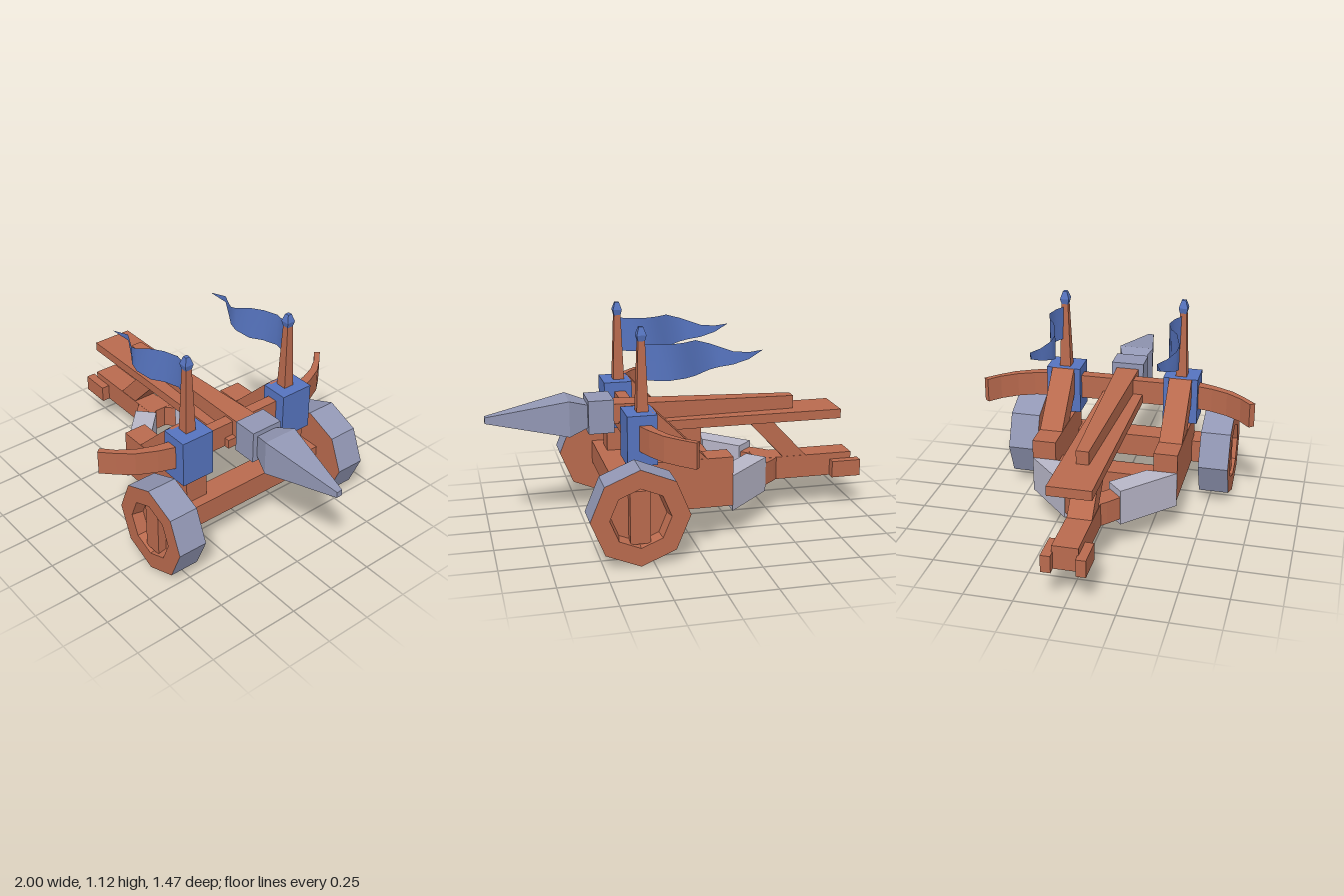
import * as THREE from 'three';

const mat = (name, color) => {
  const m = new THREE.MeshStandardMaterial({ color });
  m.name = name;
  return m;
};

export function createModel() {
  const wood = mat('wood', 0xb96a4e);
  const blue = mat('blue paint', 0x5674bf);
  const steel = mat('steel', 0x9297b4);
  const paleSteel = mat('pale steel', 0xb8b6c8);
  const cloth = mat('blue cloth', 0x5674bf);
  cloth.side = THREE.DoubleSide;
  const model = new THREE.Group();
  model.name = 'ballista';

  const flat = (g) => {
    const n = g.index ? g.toNonIndexed() : g;
    n.computeVertexNormals();
    return n;
  };
  const add = (name, geo, material, parent = model) => {
    const mesh = new THREE.Mesh(geo, material);
    mesh.name = name;
    parent.add(mesh);
    return mesh;
  };
  // Box given by its limits
  const box = (name, m, x0, x1, y0, y1, z0, z1) => {
    const g = new THREE.BoxGeometry(x1 - x0, y1 - y0, z1 - z0);
    g.translate((x0 + x1) / 2, (y0 + y1) / 2, (z0 + z1) / 2);
    return add(name, g, m);
  };
  const extrude = (pts, depth) => new THREE.ExtrudeGeometry(
    new THREE.Shape(pts.map(([a, b]) => new THREE.Vector2(a, b))), { depth, bevelEnabled: false });
  // Side profile (x, y) extruded along z
  const sidePrism = (name, m, pts, z0, z1) =>
    add(name, extrude(pts, z1 - z0).translate(0, 0, z0), m);
  // Plan outline (x, z) extruded along y
  const planPrism = (name, m, pts, y0, y1) =>
    add(name, extrude(pts, y1 - y0).rotateX(Math.PI / 2).translate(0, y1, 0), m);

  // Chassis
  box('axle', wood, 0.255, 0.385, 0.185, 0.31, -0.45, 0.45);
  box('crossBeam', wood, -0.2, -0.07, 0.185, 0.31, -0.27, 0.27);
  box('tailBeam', wood, -0.96, -0.42, 0.185, 0.31, -0.065, 0.065);
  sidePrism('railSupport', wood, [[-0.71, 0.3], [-0.58, 0.3], [-0.365, 0.53], [-0.495, 0.53]], -0.063, 0.063);

  // Firing rail and tapered bolt shaft
  box('rail', wood, -0.875, 0.32, 0.52, 0.57, -0.11, 0.11);
  const shaft = new THREE.BoxGeometry(1, 1, 1);
  const p = shaft.attributes.position;
  for (let i = 0; i < p.count; i++) {
    const front = p.getX(i) > 0;
    p.setXYZ(i, front ? 0.36 : -0.63,
      p.getY(i) > 0 ? (front ? 0.665 : 0.64) : 0.56,
      Math.sign(p.getZ(i)) * (front ? 0.062 : 0.032));
  }
  add('boltShaft', flat(shaft), wood);

  // Bolt head: collar and square point
  box('boltCollar', steel, 0.35, 0.482, 0.52, 0.695, -0.088, 0.088);
  const head = new THREE.LatheGeometry(
    [[0, 0.48], [0.06, 0.48], [0.094, 0.58], [0.016, 1], [0, 1]]
      .map(([h, x]) => new THREE.Vector2(h * Math.SQRT2, x)), 4, Math.PI / 4);
  add('boltHead', flat(head.rotateZ(-Math.PI / 2).translate(0, 0.608, 0)), steel);

  // Bow, swept back toward the tips
  const outer = [[0.29, 0.4], [0.255, 0.5], [0.205, 0.6], [0.145, 0.67], [0.08, 0.735]];
  const inner = [[0.06, 0.71], [0.12, 0.655], [0.175, 0.575], [0.21, 0.49], [0.23, 0.4]];
  const half = [...outer, ...inner];
  const mirrored = half.map(([x, z]) => [x, -z]).reverse();
  planPrism('bow', wood, [...half, ...mirrored], 0.52, 0.65);

  for (const s of [1, -1]) {
    const m = (pts) => pts.map(([x, z]) => [x, z * s]);
    const zs = (a, b) => (s > 0 ? [a, b] : [-b, -a]);

    // Side frame with slanted brace
    box('sideBeam', wood, -0.2, 0.33, 0.185, 0.445, ...zs(0.26, 0.385));
    sidePrism('brace', wood, [[-0.07, 0.44], [0.08, 0.44], [0.21, 0.57], [0.21, 0.7], [0.19, 0.7]], ...zs(0.262, 0.383));
    box('tailHook', wood, -1, -0.84, 0.185, 0.275, ...zs(0.06, 0.11));

    // Diagonal strut in a steel sleeve
    planPrism('strut', wood, m([[-0.195, 0.36], [-0.195, 0.25], [-0.43, 0.02], [-0.55, 0.05], [-0.51, 0.09]]), 0.186, 0.309);
    planPrism('strutSleeve', paleSteel, m([[-0.2, 0.385], [-0.2, 0.225], [-0.365, 0.065], [-0.45, 0.145]]), 0.155, 0.345);

    // Bow mount, pole and finial
    box('bowMount', blue, 0.195, 0.345, 0.445, 0.7, ...zs(0.23, 0.415));
    const pole = new THREE.CylinderGeometry(0.017 * Math.SQRT2, 0.03 * Math.SQRT2, 0.37, 4, 1);
    add('pole', flat(pole.rotateY(Math.PI / 4).translate(0.255, 0.875, 0.32 * s)), wood);
    const finial = new THREE.LatheGeometry(
      [[0, 1.045], [0.016, 1.045], [0.024, 1.08], [0.011, 1.12], [0, 1.12]]
        .map(([r, y]) => new THREE.Vector2(r * Math.SQRT2, y)), 4, Math.PI / 4);
    add('finial', flat(finial.translate(0.255, 0, 0.32 * s)), blue);

    // Waving pennant: x, bottom, top, sideways offset
    const rows = [
      [0.25, 0.855, 1.035, 0], [0.19, 0.855, 1.035, -0.035], [0.12, 0.855, 1.035, -0.05],
      [0.04, 0.855, 1.035, -0.025], [-0.02, 0.855, 1.035, 0.015], [-0.1, 0.875, 1.008, 0.043],
      [-0.15, 0.888, 0.99, 0.035], [-0.21, 0.905, 0.972, 0], [-0.28, 0.937, 0.972, -0.035], [-0.36, 0.97, 0.972, 0],
    ];
    const pos = [], idx = [];
    rows.forEach(([x, lo, hi, z], i) => {
      pos.push(x, lo, 0.32 * s + z, x, hi, 0.32 * s + z);
      const a = i * 2;
      if (i) idx.push(a - 2, a - 1, a, a, a - 1, a + 1);
    });
    const flag = new THREE.BufferGeometry();
    flag.setAttribute('position', new THREE.Float32BufferAttribute(pos, 3));
    flag.setIndex(idx);
    flag.computeVertexNormals();
    add('pennant', flag, cloth);

    // Octagonal wheel: steel tread, wooden sides, recessed hub with a bar
    const wheel = new THREE.Group();
    wheel.name = 'wheel';
    wheel.position.set(0.32, 0.248, 0.45 * s);
    wheel.rotation.x = s * Math.PI / 2;
    model.add(wheel);
    const lathe = (pts) => flat(new THREE.LatheGeometry(pts.map(([r, y]) => new THREE.Vector2(r, y)), 8));
    add('tread', lathe([[0.247, 0], [0.247, 0.16]]), steel, wheel);
    add('innerSide', lathe([[0, 0], [0.247, 0]]), wood, wheel);
    add('outerSide', lathe([[0.247, 0.16], [0.152, 0.16], [0.14, 0.1], [0, 0.1]]), wood, wheel);
    add('hubBar', new THREE.BoxGeometry(0.1, 0.05, 0.27).translate(0, 0.12, 0), wood, wheel);
  }
  return model;
}
